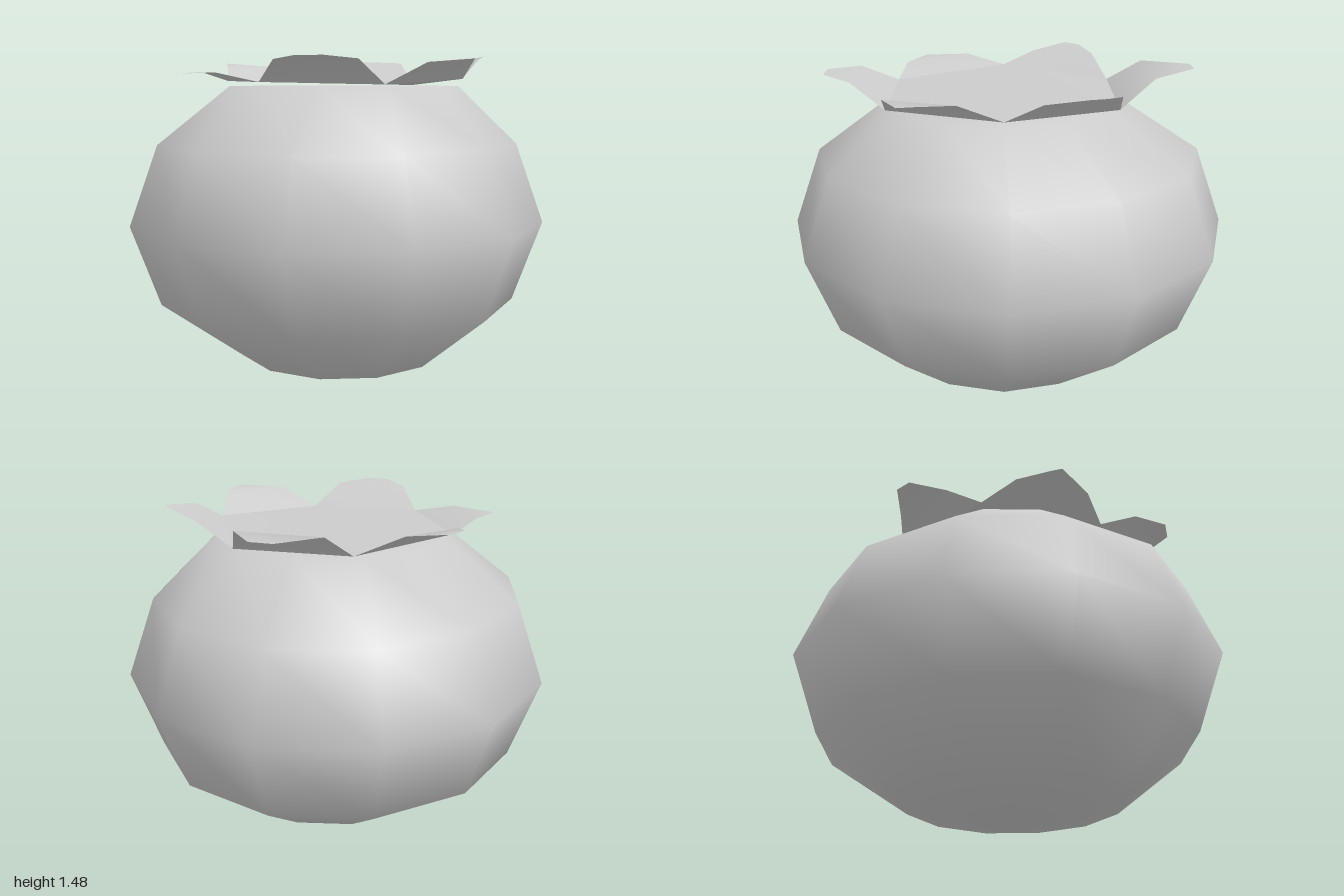
import * as THREE from 'three';
import { mergeVertices } from 'three/addons/utils/BufferGeometryUtils.js';

const skin = new THREE.MeshStandardMaterial({ color: 0xcccccc });
const leaf = new THREE.MeshStandardMaterial({ color: 0xcccccc, side: THREE.DoubleSide });

function surface(points, index, name) {
  const g = new THREE.BufferGeometry();
  g.setAttribute('position', new THREE.Float32BufferAttribute(points.flat(), 3));
  g.setIndex(index);
  g.computeVertexNormals();
  const mesh = new THREE.Mesh(g, leaf);
  mesh.name = name;
  return mesh;
}

// Squat twelve-sided fruit, slightly narrower in x, with its poles off centre
function createBody() {
  const profile = [[0, 0.003], [0.5, 0.1], [0.867, 0.365], [1, 0.727], [0.867, 1.08], [0.5, 1.337], [0, 1.337]];
  let g = new THREE.LatheGeometry(profile.map(([r, y]) => new THREE.Vector2(r, y)), 12);
  const p = g.attributes.position;
  for (let i = 0; i < p.count; i++) {
    const y = p.getY(i);
    const shift = y < 0.2 || y > 1.2 ? 1 : 0;
    const stretch = y > 1.2 ? 1.06 : 0.95;
    p.setX(i, p.getX(i) * stretch + 0.03 * shift);
    p.setZ(i, p.getZ(i) + 0.022 * shift);
  }
  g.deleteAttribute('uv');
  g.deleteAttribute('normal');
  g = mergeVertices(g, 1e-4);
  g.computeVertexNormals();
  const mesh = new THREE.Mesh(g, skin);
  mesh.name = 'fruitBody';
  return mesh;
}

// Flat six-sided crown with one upturned sepal on each edge
function createCalyx() {
  const calyx = new THREE.Group();
  calyx.name = 'calyx';
  const corners = [
    [-0.225, 1.352, 0.515], [0.3, 1.342, 0.515], [0.58, 1.368, 0.02],
    [0.3, 1.342, -0.465], [-0.225, 1.352, -0.465], [-0.52, 1.36, 0.02],
  ];
  calyx.add(surface([[0.03, 1.354, 0.025], ...corners],
    corners.flatMap((_, i) => [0, i + 1, (i + 1) % 6 + 1]), 'calyxCentre'));

  // Each sepal: side, tip, tip, side between two neighbouring corners
  const sepals = [
    [[-0.12, 1.44, 0.67], [0, 1.45, 0.8], [0.11, 1.45, 0.8], [0.22, 1.44, 0.67]],
    [[0.47, 1.43, 0.505], [0.655, 1.445, 0.425], [0.66, 1.45, 0.36], [0.64, 1.45, 0.2]],
    [[0.635, 1.45, -0.13], [0.657, 1.475, -0.3], [0.66, 1.48, -0.37], [0.47, 1.44, -0.45]],
    [[0.22, 1.455, -0.62], [0.07, 1.465, -0.81], [-0.03, 1.465, -0.81], [-0.155, 1.455, -0.61]],
    [[-0.42, 1.435, -0.41], [-0.6, 1.445, -0.36], [-0.63, 1.45, -0.29], [-0.57, 1.42, -0.13]],
    [[-0.59, 1.4, 0.2], [-0.62, 1.39, 0.36], [-0.625, 1.388, 0.415], [-0.42, 1.392, 0.49]],
  ];
  sepals.forEach((outer, i) => {
    const points = [corners[i], ...outer, corners[(i + 1) % 6]];
    calyx.add(surface(points, [0, 1, 4, 0, 4, 5, 1, 2, 3, 1, 3, 4], 'sepal' + (i + 1)));
  });
  return calyx;
}

export function createModel() {
  const model = new THREE.Group();
  model.name = 'fruit';
  model.add(createBody(), createCalyx());
  return model;
}
